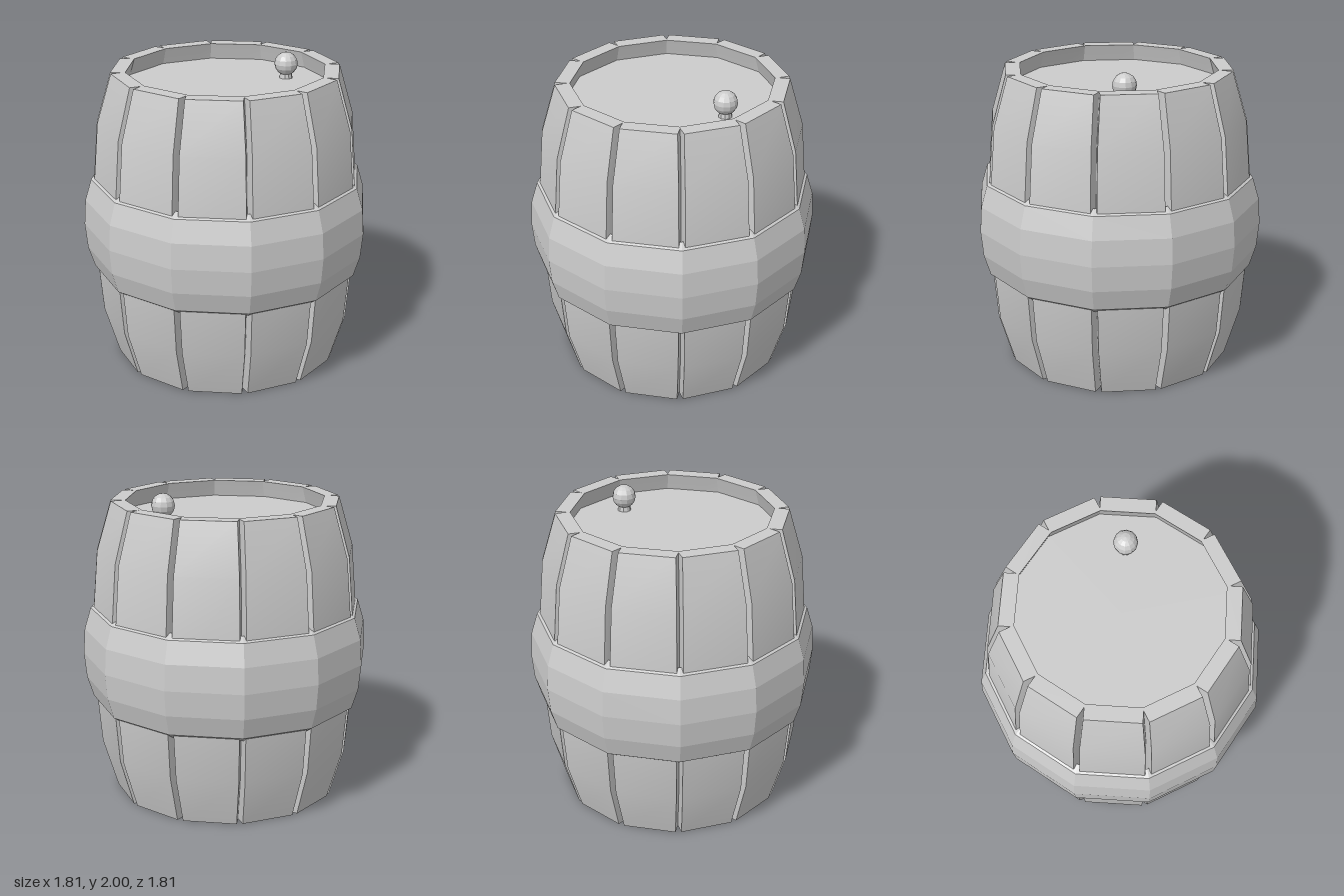
import * as THREE from 'three';
import { toCreasedNormals } from 'three/addons/utils/BufferGeometryUtils.js';

const SIDES = 12;
const TAN = Math.tan(Math.PI / SIDES);
const COS = Math.cos(Math.PI / SIDES);

// One bowed stave facing +z: a six-sided cross-section swept up the barrel profile
function staveGeometry() {
  const profile = [[0, 0.715], [0.32, 0.807], [0.97, 0.86], [1.62, 0.807], [1.94, 0.715]];
  const pos = [], index = [];
  for (const [y, a] of profile) {
    const tip = a - 0.075, inner = a - 0.095;
    const wo = a * TAN - 0.02, wt = tip * TAN, wi = inner * TAN;
    const section = [[-wo, a], [wo, a], [wt, tip], [wi, inner], [-wi, inner], [-wt, tip]];
    for (const [x, z] of section) pos.push(x, y, z);
  }
  const last = (profile.length - 1) * 6;
  for (let r = 0; r < last; r += 6) {
    for (let i = 0; i < 6; i++) {
      const j = (i + 1) % 6;
      index.push(r + i, r + j, r + 6 + j, r + i, r + 6 + j, r + 6 + i);
    }
  }
  // End caps
  for (let i = 1; i < 5; i++) {
    index.push(last, last + i, last + i + 1);
    index.push(0, i + 1, i);
  }
  const geo = new THREE.BufferGeometry();
  geo.setAttribute('position', new THREE.Float32BufferAttribute(pos, 3));
  geo.setIndex(index);
  return toCreasedNormals(geo, 0.3);
}

// Twelve-sided turned part; profile widths are measured to the flats
function turned(profile) {
  const points = profile.map(([a, y]) => new THREE.Vector2(a / COS, y));
  return new THREE.LatheGeometry(points, SIDES, Math.PI / SIDES);
}

export function createModel() {
  const barrel = new THREE.Group();
  barrel.name = 'barrel';
  const smooth = new THREE.MeshStandardMaterial({ color: 0xcccccc });
  const flat = new THREE.MeshStandardMaterial({ color: 0xcccccc, flatShading: true });

  const add = (name, geo, mat, parent = barrel) => {
    const mesh = new THREE.Mesh(geo, mat);
    mesh.name = name;
    parent.add(mesh);
    return mesh;
  };

  // Ring of staves
  const staves = new THREE.Group();
  staves.name = 'staves';
  barrel.add(staves);
  const stave = staveGeometry();
  for (let i = 0; i < SIDES; i++) {
    add('stave', stave, smooth, staves).rotation.y = (i / SIDES) * Math.PI * 2;
  }

  // Wide bulging hoop around the middle, lapping into the grooves
  add('hoop', turned([
    [0.80, 0.60], [0.85, 0.635], [0.89, 0.77], [0.905, 0.935],
    [0.894, 1.10], [0.853, 1.24], [0.80, 1.27], [0.80, 0.60],
  ]), flat);

  // Recessed heads at both ends
  add('lid', turned([[0, 1.77], [0.66, 1.77], [0.66, 1.83], [0, 1.83]]), flat);
  add('base', turned([[0, 0.10], [0.66, 0.10], [0.66, 0.16], [0, 0.16]]), flat);

  // Round knob on a short neck near the lid's edge
  const knob = new THREE.Group();
  knob.name = 'knob';
  knob.position.set(0.425, 1.83, 0);
  barrel.add(knob);
  add('knobNeck', new THREE.CylinderGeometry(0.035, 0.045, 0.06, 10), flat, knob).position.y = 0.02;
  add('knobBall', new THREE.SphereGeometry(0.076, 12, 8), flat, knob).position.y = 0.094;

  return barrel;
}
